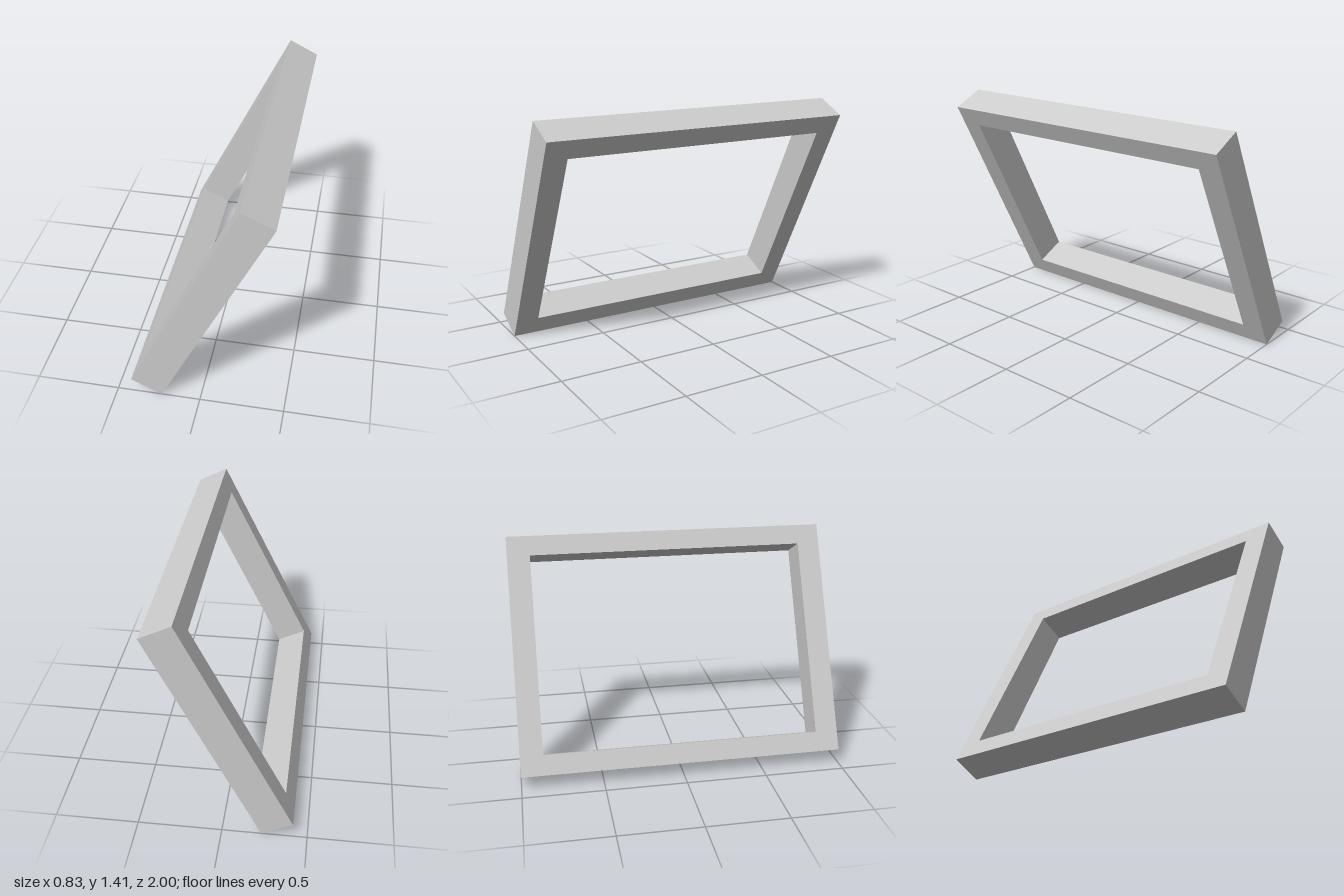
import * as THREE from 'three';

const WIDTH = 2, HEIGHT = 1.469, DEPTH = 0.204;
const SIDE_BAR = 0.14, END_BAR = 0.123;
const TILT = THREE.MathUtils.degToRad(26.18);

// Corner points of a centred rectangle
function rectangle(w, h) {
  return [[-1, -1], [1, -1], [1, 1], [-1, 1]].map(
    ([x, y]) => new THREE.Vector2(x * w / 2, y * h / 2));
}

export function createModel() {
  const model = new THREE.Group();
  model.name = 'leaningFrame';

  // Rectangular frame with an open middle
  const outline = new THREE.Shape(rectangle(WIDTH, HEIGHT));
  outline.holes.push(new THREE.Path(
    rectangle(WIDTH - 2 * SIDE_BAR, HEIGHT - 2 * END_BAR).reverse()));
  const geometry = new THREE.ExtrudeGeometry(outline, { depth: DEPTH, bevelEnabled: false });
  geometry.translate(0, 0, -DEPTH / 2);
  geometry.rotateY(Math.PI / 2);

  // Lean the frame towards +x, resting on its lower edge
  const frame = new THREE.Mesh(geometry, new THREE.MeshStandardMaterial({ color: 0xcccccc }));
  frame.name = 'frame';
  frame.rotation.z = -TILT;
  frame.position.y = (HEIGHT * Math.cos(TILT) + DEPTH * Math.sin(TILT)) / 2;
  model.add(frame);

  return model;
}
